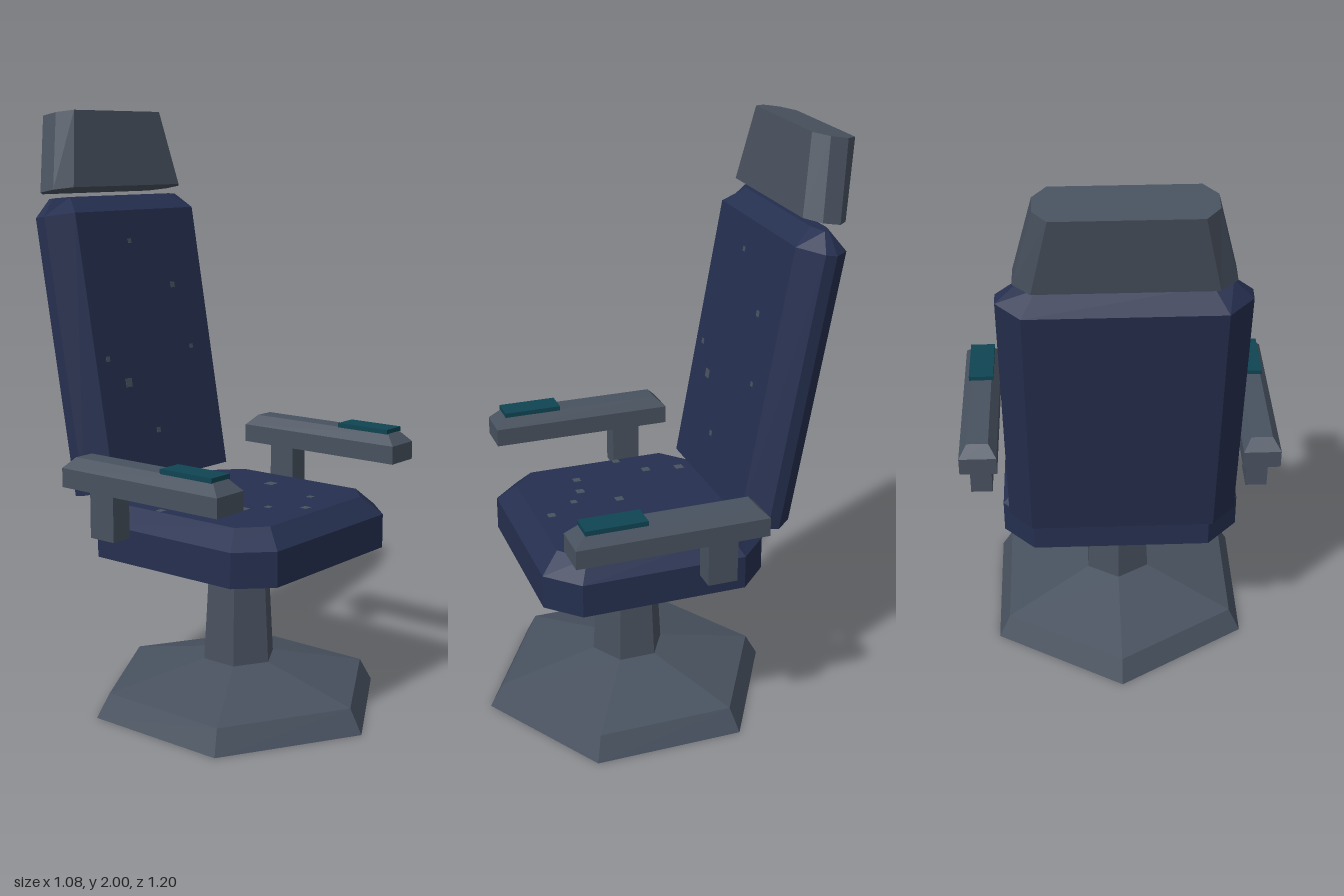
import * as THREE from 'three';

const grey = new THREE.MeshStandardMaterial({ name: 'grey metal', color: 0x48515f, flatShading: true });
const navy = new THREE.MeshStandardMaterial({ name: 'navy upholstery', color: 0x252f4f, flatShading: true });
const teal = new THREE.MeshStandardMaterial({ name: 'teal panel', color: 0x0f4452, flatShading: true });

// Solid through stacked cut-corner rectangles: [y, halfWidth, halfDepth, cutX, cutZ]
function cutCornerSolid(layers) {
  const rings = layers.map(([y, w, d, cx, cz]) => [
    [w - cx, d], [w, d - cz], [w, cz - d], [w - cx, -d],
    [cx - w, -d], [-w, cz - d], [-w, d - cz], [cx - w, d],
  ].map(([x, z]) => [x, y, z]));
  const pos = [];
  const tri = (a, b, c) => pos.push(...a, ...b, ...c);
  for (let k = 0; k < rings.length - 1; k++) {
    const lo = rings[k], hi = rings[k + 1];
    for (let i = 0; i < 8; i++) {
      const j = (i + 1) % 8;
      tri(lo[i], lo[j], hi[j]);
      tri(lo[i], hi[j], hi[i]);
    }
  }
  const bottom = rings[0], top = rings[rings.length - 1];
  for (let i = 1; i < 7; i++) {
    tri(top[0], top[i], top[i + 1]);
    tri(bottom[0], bottom[i + 1], bottom[i]);
  }
  const geo = new THREE.BufferGeometry();
  geo.setAttribute('position', new THREE.Float32BufferAttribute(pos, 3));
  geo.computeVertexNormals();
  return geo;
}

function add(parent, name, geo, mat, x = 0, y = 0, z = 0) {
  const mesh = new THREE.Mesh(geo, mat);
  mesh.name = name;
  mesh.position.set(x, y, z);
  parent.add(mesh);
  return mesh;
}

export function createModel() {
  const chair = new THREE.Group();
  chair.name = 'pedestalChair';
  const midZ = 0.09;
  const tilt = -0.175;

  // Hexagonal foot, sloping shoulder and column
  const hex = (top, bottom, h) => new THREE.CylinderGeometry(top, bottom, h, 6);
  add(chair, 'footRim', hex(0.465, 0.51, 0.08), grey, 0, 0.04, midZ);
  add(chair, 'footSlope', hex(0.127, 0.465, 0.08), grey, 0, 0.12, midZ);
  add(chair, 'column', hex(0.105, 0.127, 0.39), grey, 0, 0.355, midZ);

  // Seat cushion with a bevelled top
  add(chair, 'seat', cutCornerSolid([
    [0.545, 0.398, 0.383, 0.103, 0.103],
    [0.66, 0.398, 0.383, 0.103, 0.103],
    [0.72, 0.335, 0.32, 0.085, 0.075],
  ]), navy, 0, 0, midZ + 0.002);

  // Leaning backrest
  const back = new THREE.Group();
  back.name = 'back';
  back.position.set(0, 0.73, -0.296);
  back.rotation.x = tilt;
  chair.add(back);
  add(back, 'backrest', cutCornerSolid([
    [0, 0.372, 0.09, 0.075, 0.07],
    [0.935, 0.372, 0.09, 0.075, 0.07],
    [0.995, 0.31, 0.03, 0.06, 0.022],
  ]), navy);

  // Tapered headrest
  const head = add(chair, 'headrest', cutCornerSolid([
    [0, 0.318, 0.076, 0.052, 0.045],
    [0.258, 0.255, 0.076, 0.042, 0.045],
  ]), grey, 0, 1.735, -0.48);
  head.rotation.x = tilt;

  // Worn flecks on the cushions: [x, along, size]
  const seatFlecks = [[-0.2, -0.18, 0.03], [-0.22, -0.06, 0.028], [-0.03, 0.105, 0.028],
    [0.21, 0.065, 0.036], [-0.22, 0.2, 0.026], [-0.13, 0.215, 0.028], [-0.06, 0.26, 0.022],
    [0.01, 0.36, 0.026], [-0.32, 0.02, 0.025], [0.14, 0.285, 0.022]];
  for (const [x, z, s] of seatFlecks)
    add(chair, 'seatFleck', new THREE.BoxGeometry(s, 0.002, s), grey, x, 0.7205, z);
  const backFlecks = [[-0.155, 0.35, 0.03], [-0.24, 0.44, 0.018], [0.135, 0.665, 0.02],
    [-0.055, 0.83, 0.016], [-0.04, 0.17, 0.018], [0.19, 0.44, 0.016]];
  for (const [x, y, s] of backFlecks)
    add(back, 'backFleck', new THREE.BoxGeometry(s, s, 0.002), grey, x, y, 0.0905);

  // Armrests: post, bevelled pad and control panel
  for (const side of [1, -1]) {
    const arm = new THREE.Group();
    arm.name = side > 0 ? 'leftArmrest' : 'rightArmrest';
    arm.position.x = side * 0.475;
    chair.add(arm);
    add(arm, 'armPost', new THREE.BoxGeometry(0.074, 0.16, 0.1), grey, 0, 0.728, -0.06);
    add(arm, 'armPad', cutCornerSolid([
      [0.805, 0.063, 0.321, 0, 0],
      [0.868, 0.063, 0.321, 0, 0],
      [0.904, 0.036, 0.284, 0, 0],
    ]), grey, 0, 0, 0.113);
    add(arm, 'controlPanel', new THREE.BoxGeometry(0.086, 0.016, 0.204), teal, 0, 0.911, 0.295);
  }
  return chair;
}
